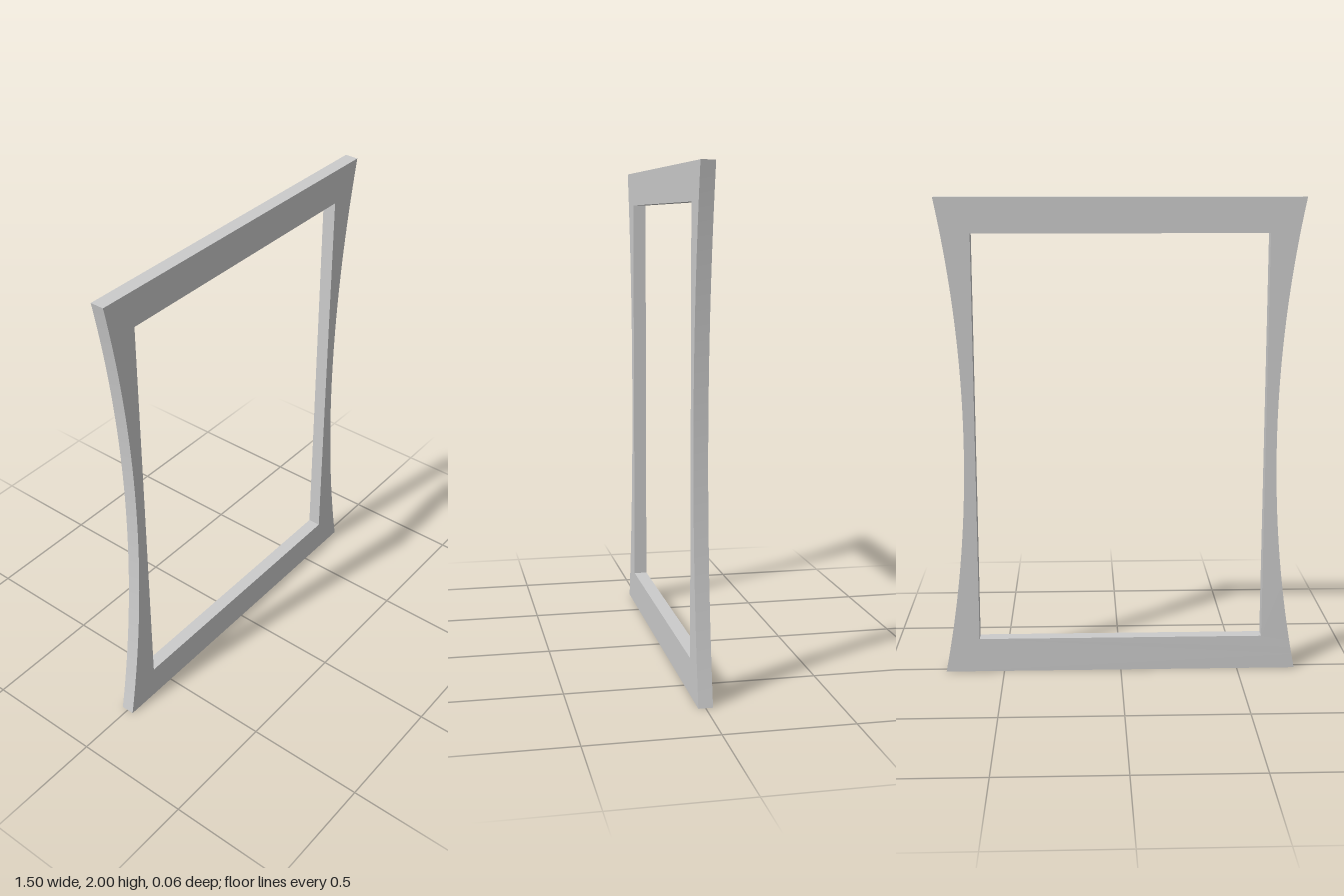
import * as THREE from 'three';
import { toCreasedNormals } from 'three/addons/utils/BufferGeometryUtils.js';

const HEIGHT = 2, DEPTH = 0.056;
const CORNER = 0.748, WAIST = 0.649;          // half widths at the ends and the middle
const OPEN_X = 0.603, OPEN_LOW = 0.146, OPEN_HIGH = 1.857;

export function createModel() {
  const group = new THREE.Group();
  group.name = 'pictureFrame';

  // Outline: straight top and bottom, sides bowed inwards along circular arcs
  const sag = CORNER - WAIST, half = HEIGHT / 2;
  const radius = (half * half + sag * sag) / (2 * sag);
  const angle = Math.asin(half / radius);
  const outline = new THREE.Shape();
  outline.moveTo(-CORNER, 0);
  outline.lineTo(CORNER, 0);
  outline.absarc(WAIST + radius, half, radius, Math.PI + angle, Math.PI - angle, true);
  outline.lineTo(-CORNER, HEIGHT);
  outline.absarc(-WAIST - radius, half, radius, angle, -angle, true);

  // Rectangular opening
  const opening = new THREE.Path();
  opening.moveTo(-OPEN_X, OPEN_LOW);
  opening.lineTo(-OPEN_X, OPEN_HIGH);
  opening.lineTo(OPEN_X, OPEN_HIGH);
  opening.lineTo(OPEN_X, OPEN_LOW);
  opening.closePath();
  outline.holes.push(opening);

  const geometry = new THREE.ExtrudeGeometry(outline, {
    depth: DEPTH, bevelEnabled: false, curveSegments: 32,
  });
  geometry.translate(0, 0, -DEPTH / 2);

  const frame = new THREE.Mesh(
    toCreasedNormals(geometry, 0.5),
    new THREE.MeshStandardMaterial({ color: 0xcccccc }),
  );
  frame.name = 'frame';
  group.add(frame);
  return group;
}
